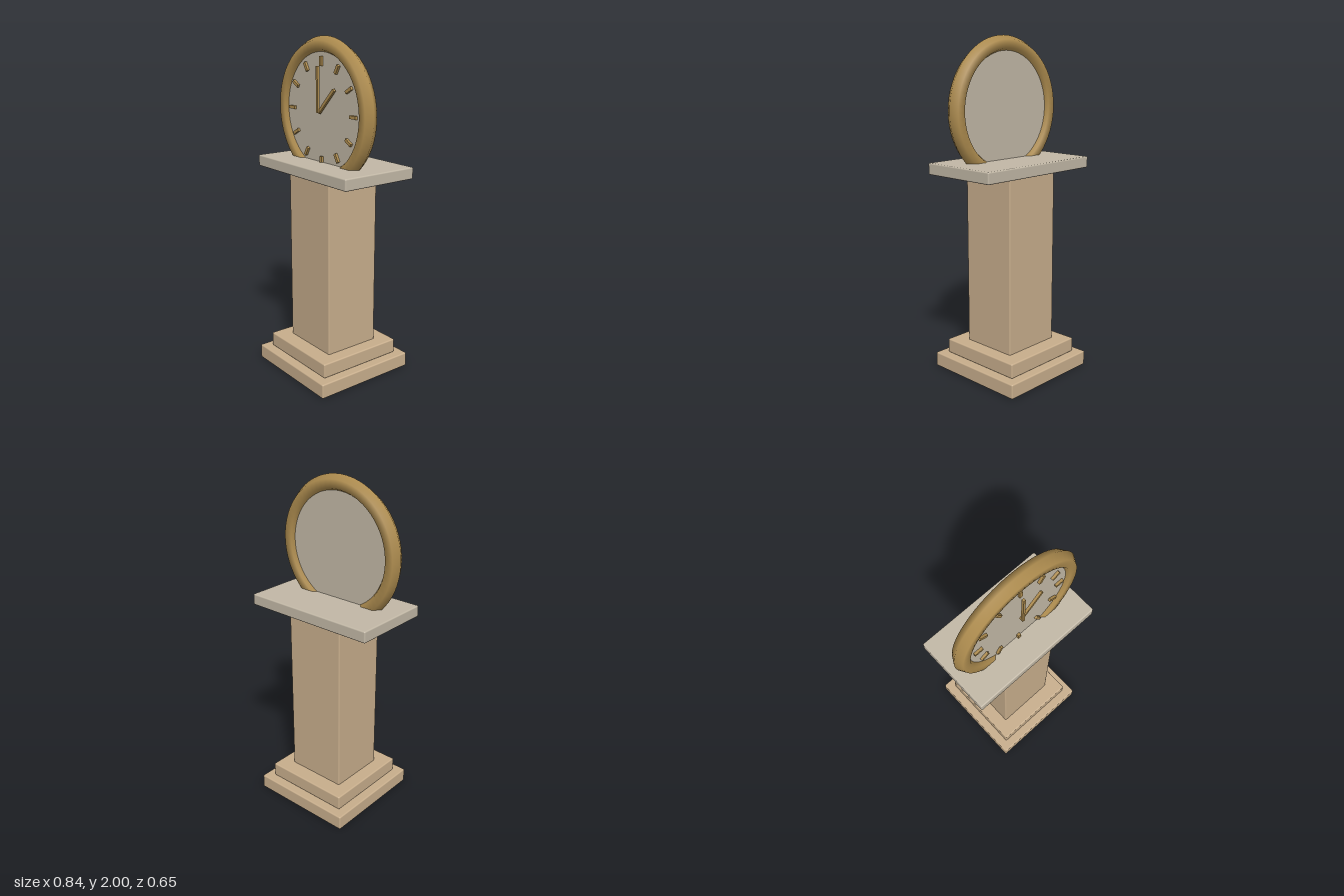
import * as THREE from 'three';
import { RoundedBoxGeometry } from 'three/addons/geometries/RoundedBoxGeometry.js';

export function createModel() {
  const model = new THREE.Group();
  model.name = 'pedestalClock';

  const material = (name, color) => {
    const m = new THREE.MeshStandardMaterial({ color });
    m.name = name;
    return m;
  };
  const sandstone = material('sandstone', 0xc8ae8c);
  const paleStone = material('paleStone', 0xc2b8a6);
  const brass = material('brass', 0xb08e50);

  const add = (parent, name, geometry, mat, x = 0, y = 0, z = 0) => {
    const mesh = new THREE.Mesh(geometry, mat);
    mesh.name = name;
    mesh.position.set(x, y, z);
    parent.add(mesh);
    return mesh;
  };

  // Softly rounded block standing between two heights
  const block = (name, w, y0, y1, d, mat) =>
    add(model, name, new RoundedBoxGeometry(w, y1 - y0, d, 2, 0.008), mat, 0, (y0 + y1) / 2, 0);

  // Stepped base, pillar and top slab
  block('lowerBase', 0.652, 0, 0.088, 0.652, sandstone);
  block('upperBase', 0.544, 0.088, 0.176, 0.544, sandstone);
  block('pillar', 0.378, 0.168, 1.23, 0.352, sandstone);
  block('topSlab', 0.84, 1.223, 1.291, 0.488, paleStone);

  // Clock, sunk into the slab
  const clock = new THREE.Group();
  clock.name = 'clock';
  clock.position.set(0, 1.581, 0.053);
  model.add(clock);

  add(clock, 'rim', new THREE.TorusGeometry(0.37, 0.049, 6, 64), brass);
  const face = add(clock, 'face', new THREE.CylinderGeometry(0.345, 0.345, 0.042, 64), paleStone);
  face.rotation.x = Math.PI / 2;

  // Bar pointing outward from the clock centre, clockwise from twelve
  const bar = (name, angle, r0, r1, width, z0, z1) => {
    const geometry = new THREE.BoxGeometry(width, r1 - r0, z1 - z0);
    geometry.translate(0, (r0 + r1) / 2, (z0 + z1) / 2);
    add(clock, name, geometry, brass).rotation.z = -angle;
  };

  // Hour marks
  for (let i = 0; i < 12; i++) {
    bar('hourMark', (i * Math.PI) / 6, 0.255, 0.308, 0.018, 0.018, 0.036);
  }

  // Hands
  bar('hourHand', Math.PI / 4, -0.004, 0.19, 0.018, 0.035, 0.05);
  bar('minuteHand', 0, -0.002, 0.255, 0.014, 0.046, 0.061);

  return model;
}
